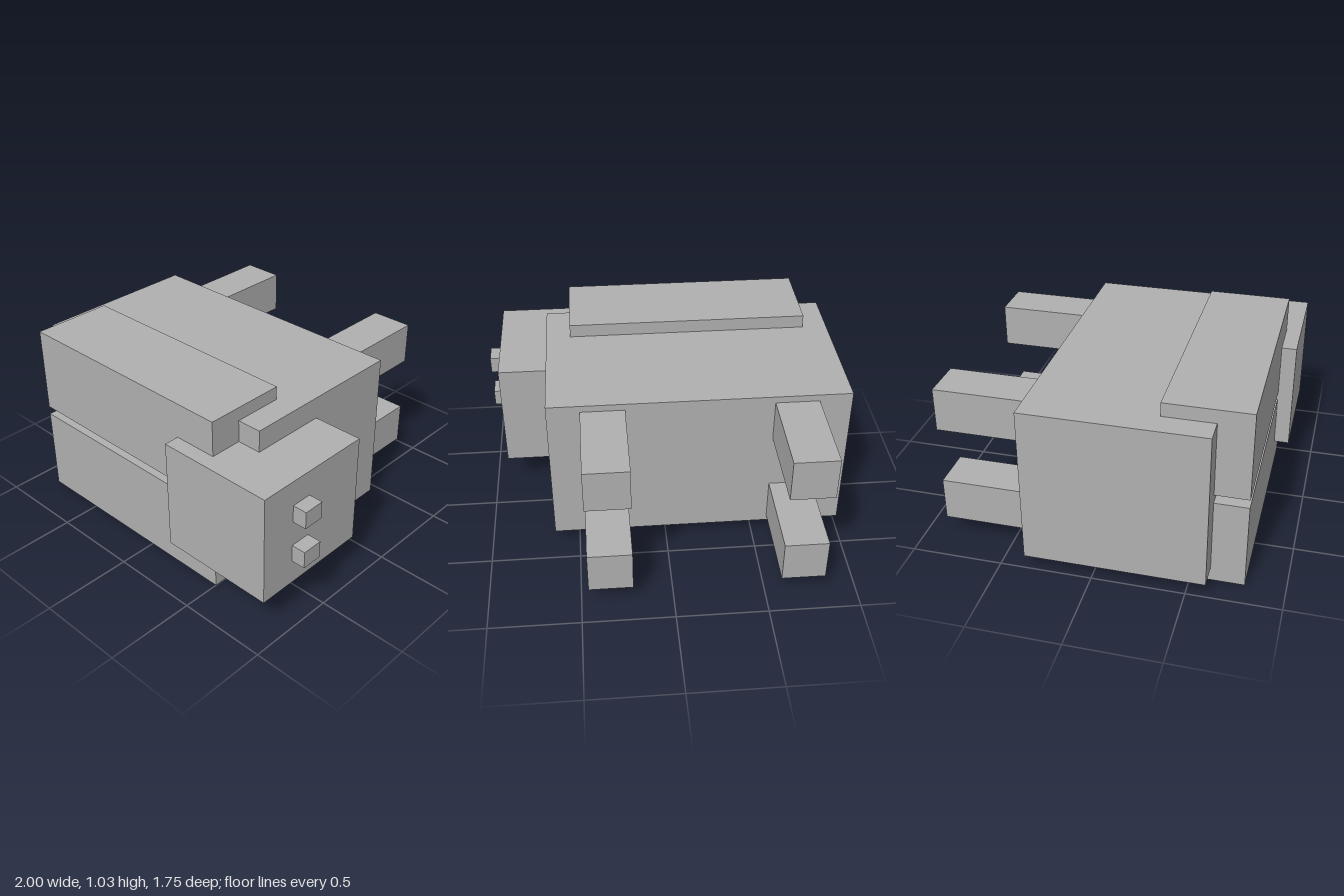
import * as THREE from 'three';

// Blocky four-legged animal lying on its side: back towards +z, legs towards -z, head at +x.
export function createModel() {
  const model = new THREE.Group();
  model.name = 'blockAnimal';
  const grey = new THREE.MeshStandardMaterial({ color: 0xb0b0b0 });
  grey.name = 'grey';

  // Box from its lower and upper limits on each axis
  const box = (name, [x0, x1], [y0, y1], [z0, z1]) => {
    const mesh = new THREE.Mesh(new THREE.BoxGeometry(x1 - x0, y1 - y0, z1 - z0), grey);
    mesh.position.set((x0 + x1) / 2, (y0 + y1) / 2, (z0 + z1) / 2);
    mesh.name = name;
    model.add(mesh);
  };

  box('body', [-1, 0.638], [0.077, 0.951], [-0.365, 0.605]);
  box('head', [0.25, 0.92], [0.2, 0.828], [0.172, 0.872]);

  // Paired parts, mirrored about the animal's middle plane
  const middle = 0.513;
  for (const [side, s] of [['lower', -1], ['upper', 1]]) {
    const span = (near, far) => [middle + s * near, middle + s * far].sort((a, b) => a - b);
    box(side + 'BackShell', [-0.86, 0.5], span(0.024, 0.513), [0.328, 0.787]);
    box(side + 'Nub', [0.92, 1], span(0.073, 0.171), [0.55, 0.668]);
    box(side + 'RearLeg', [-0.822, -0.583], span(0.16, 0.4), [-0.875, -0.365]);
    box(side + 'FrontLeg', [0.219, 0.459], span(0.16, 0.4), [-0.875, -0.365]);
  }
  return model;
}
